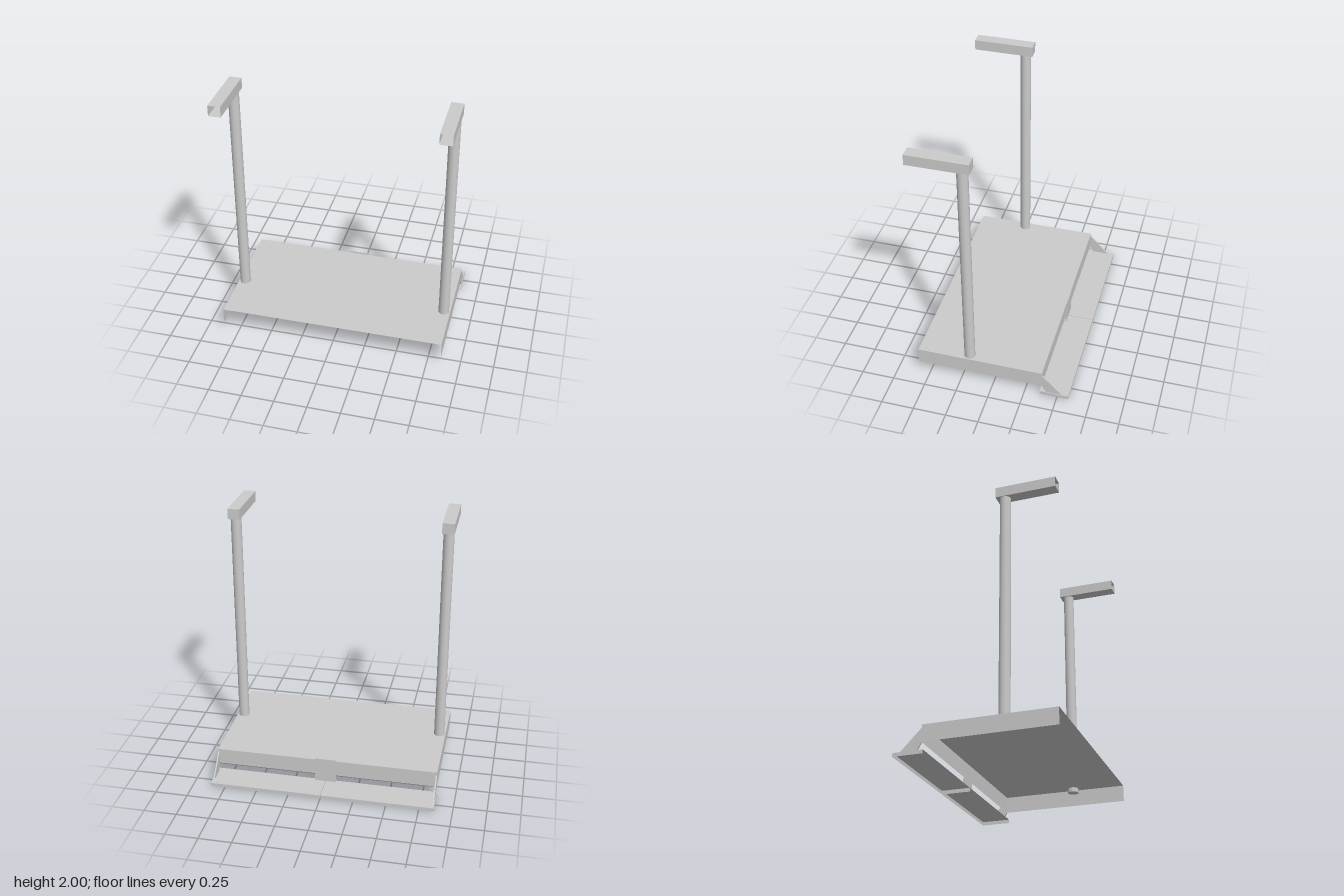
import * as THREE from 'three';

const mat = new THREE.MeshStandardMaterial({ color: 0xcccccc, side: THREE.DoubleSide });

function add(parent, name, geometry) {
  const mesh = new THREE.Mesh(geometry, mat);
  mesh.name = name;
  parent.add(mesh);
  return mesh;
}

// Sheet-metal box made of thin panels; only the listed sides are present.
function sheetBox(name, [x0, x1], [y0, y1], [z0, z1], sides) {
  const group = new THREE.Group();
  group.name = name;
  const w = x1 - x0, h = y1 - y0, d = z1 - z0;
  const cx = (x0 + x1) / 2, cy = (y0 + y1) / 2, cz = (z0 + z1) / 2;
  const panels = {
    top: [w, d, -Math.PI / 2, 0, cx, y1, cz],
    bottom: [w, d, Math.PI / 2, 0, cx, y0, cz],
    left: [d, h, 0, Math.PI / 2, x1, cy, cz],
    right: [d, h, 0, -Math.PI / 2, x0, cy, cz],
    front: [w, h, 0, 0, cx, cy, z1],
    back: [w, h, 0, Math.PI, cx, cy, z0],
  };
  for (const side of sides) {
    const [pw, ph, rx, ry, x, y, z] = panels[side];
    const panel = add(group, side + 'Panel', new THREE.PlaneGeometry(pw, ph));
    panel.rotation.set(rx, ry, 0);
    panel.position.set(x, y, z);
  }
  return group;
}

export function createModel() {
  const model = new THREE.Group();
  model.name = 'platformWithPosts';

  // Platform: folded tray, open below and at the front
  model.add(sheetBox('platform', [-0.857, 0.857], [0.085, 0.21], [-0.38, 0.587],
    ['top', 'left', 'right', 'back']));

  // Centre tab joining the step to the platform's back wall
  add(model, 'centreTab', new THREE.BoxGeometry(0.164, 0.195, 0.006))
    .position.set(0, 0.125, -0.383);

  // Slanted bracket profile, drawn as (-z, y)
  const bracketShape = new THREE.Shape([
    [0.38, 0.187], [0.38, 0.082], [0.41, 0.028], [0.535, 0.028],
  ].map(([a, b]) => new THREE.Vector2(a, b)));

  for (const s of [-1, 1]) {
    const side = s > 0 ? 'left' : 'right';

    // Half of the rear step, open below
    const span = s > 0 ? [0.002, 0.862] : [-0.862, -0.002];
    model.add(sheetBox(side + 'Step', span, [0, 0.028], [-0.587, -0.365],
      ['top', 'left', 'right', 'back']));

    // Step bracket
    const bracket = add(model, side + 'Bracket',
      new THREE.ExtrudeGeometry(bracketShape, { depth: 0.01, bevelEnabled: false }));
    bracket.rotation.y = Math.PI / 2;
    bracket.position.x = s * 0.852 - 0.005;

    // Upright post, passing through the platform top
    add(model, side + 'Post', new THREE.CylinderGeometry(0.041, 0.041, 1.785, 24))
      .position.set(s * 0.806, 1.0675, 0.193);

    // Square tube arm, open at its front end
    const x = s * 0.806;
    model.add(sheetBox(side + 'Arm', [x - 0.046, x + 0.046], [1.92, 2], [0.13, 0.587],
      ['top', 'bottom', 'left', 'right', 'back']));
  }
  return model;
}
